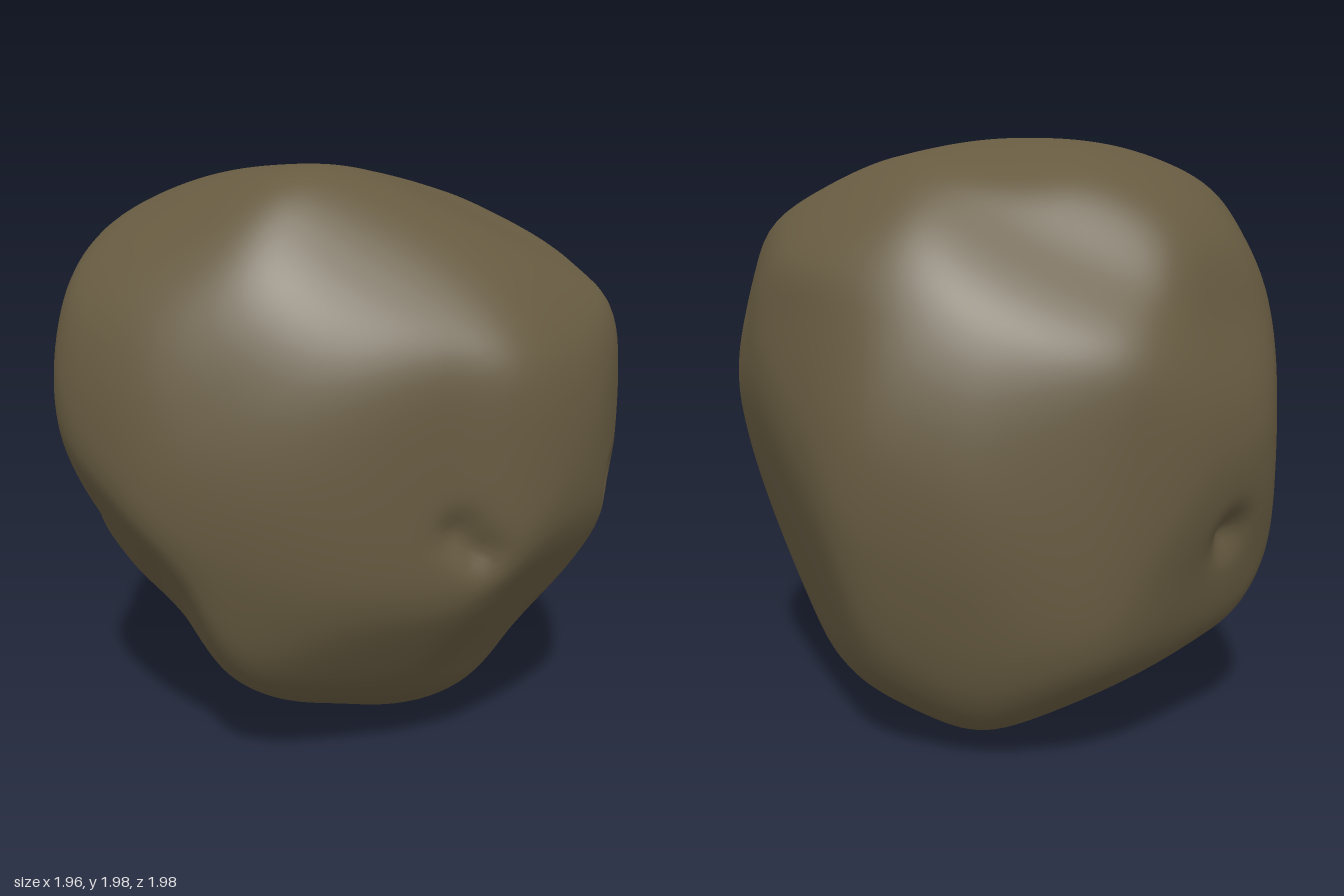
import * as THREE from 'three';
import { mergeVertices } from 'three/addons/utils/BufferGeometryUtils.js';

// Outlines of the lump along six axes: azimuth, elevation (degrees) and the
// radius every 22.5 degrees around that axis
const OUTLINES = [
  [0, 0, [0.98, 1.005, 1.075, 1.0, 0.985, 1.06, 1.07, 1.035, 0.97, 0.93, 0.94, 0.925, 0.975, 1.065, 1.115, 1.025]],
  [90, 0, [0.99, 0.975, 1.025, 1.0, 0.99, 1.015, 1.01, 1.03, 0.985, 0.91, 0.915, 1.02, 0.99, 1.03, 1.06, 1.0]],
  [0, 90, [0.97, 1.03, 0.965, 0.98, 1.0, 0.965, 0.88, 1.0, 0.98, 0.9, 0.85, 0.875, 0.985, 1.0, 0.99, 0.945]],
  [35, 25, [0.975, 0.97, 0.945, 1.01, 1.043, 1.06, 1.03, 0.93, 0.87, 0.877, 0.883, 0.94, 1.03, 1.06, 1.11, 1.035]],
  [215, 26, [0.877, 0.914, 0.963, 0.994, 0.963, 1.03, 1.03, 1.0, 0.99, 1.037, 1.128, 1.01, 0.908, 0.883, 0.933, 0.902]],
  [140, -27, [0.933, 0.988, 1.043, 1.025, 0.975, 1.025, 1.055, 1.0, 0.975, 0.963, 0.939, 0.975, 0.926, 0.914, 0.79, 0.822]],
];

// Broad flat face on the lower left side
const FLAT = { normal: new THREE.Vector3(0.89, -0.27, 0.37).normalize(), distance: 0.88 };

// Small dents: direction, angular size, depth
const DENTS = [
  { dir: new THREE.Vector3(-0.33, -0.1, 0.88).normalize(), size: 0.08, depth: 0.04 },
  { dir: new THREE.Vector3(-0.25, -0.17, 0.88).normalize(), size: 0.07, depth: 0.04 },
  { dir: new THREE.Vector3(0.41, -0.04, 0.88).normalize(), size: 0.06, depth: 0.04 },
  { dir: new THREE.Vector3(-0.03, -0.29, -0.91).normalize(), size: 0.075, depth: 0.055 },
];

const SHARPNESS = 30; // higher keeps crisper ridges where outlines meet

function makeOutline([azimuth, elevation, target]) {
  const a = THREE.MathUtils.degToRad(azimuth), e = THREE.MathUtils.degToRad(elevation);
  return {
    right: new THREE.Vector3(Math.cos(a), 0, -Math.sin(a)),
    up: new THREE.Vector3(-Math.sin(e) * Math.sin(a), Math.cos(e), -Math.sin(e) * Math.cos(a)),
    target,
    radii: target.slice(),
  };
}

// Position around an outline, counted in samples
function sampleAt(x, y, n) {
  return ((Math.atan2(y, x) / (2 * Math.PI)) * n + n) % n;
}

// Smooth periodic interpolation of an outline's radii
function outlineRadius(radii, x, y) {
  const n = radii.length;
  const t = sampleAt(x, y, n);
  const i = Math.floor(t), f = t - i;
  const [a, b, c, d] = [-1, 0, 1, 2].map((k) => radii[(i + k + n) % n]);
  return b + 0.5 * f * (c - a + f * (2 * a - 5 * b + 4 * c - d + f * (3 * (b - c) + d - a)));
}

// Radius in a direction: the solid common to all outlines with rounded ridges
function bodyRadius(dir, outlines) {
  let sum = (Math.max(0, dir.dot(FLAT.normal)) / FLAT.distance) ** SHARPNESS;
  for (const { right, up, radii } of outlines) {
    const x = dir.dot(right), y = dir.dot(up);
    sum += (Math.hypot(x, y) / outlineRadius(radii, x, y)) ** SHARPNESS;
  }
  return sum ** (-1 / SHARPNESS);
}

// Widen the outlines where rounding the ridges has drawn the body in
function fitOutlines(outlines, dirs) {
  const points = dirs.map((d) => d.clone().multiplyScalar(bodyRadius(d, outlines)));
  for (const { right, up, target, radii } of outlines) {
    const n = radii.length;
    const reach = new Array(n).fill(0);
    for (const p of points) {
      const x = p.dot(right), y = p.dot(up);
      const t = sampleAt(x, y, n), i = Math.round(t);
      if (Math.abs(t - i) < 0.12) reach[i % n] = Math.max(reach[i % n], Math.hypot(x, y));
    }
    reach.forEach((r, i) => { radii[i] *= THREE.MathUtils.clamp(target[i] / r, 0.97, 1.03); });
  }
}

export function createModel() {
  const earthBrown = new THREE.MeshStandardMaterial({ color: 0x675b41 });
  earthBrown.name = 'earthBrown';

  // Shared vertices give smooth normals
  let geometry = new THREE.IcosahedronGeometry(1, 36);
  geometry.deleteAttribute('uv');
  geometry.deleteAttribute('normal');
  geometry = mergeVertices(geometry, 1e-5);

  const position = geometry.attributes.position;
  const dirs = Array.from({ length: position.count }, (_, i) =>
    new THREE.Vector3().fromBufferAttribute(position, i).normalize());

  const outlines = OUTLINES.map(makeOutline);
  for (let pass = 0; pass < 3; pass++) fitOutlines(outlines, dirs);

  dirs.forEach((dir, i) => {
    let r = bodyRadius(dir, outlines);
    for (const d of DENTS) r -= d.depth * Math.exp(-dir.distanceToSquared(d.dir) / (d.size * d.size));
    position.setXYZ(i, dir.x * r, dir.y * r, dir.z * r);
  });

  // Stand it on the ground
  geometry.computeBoundingBox();
  geometry.translate(0, -geometry.boundingBox.min.y, 0);
  geometry.computeVertexNormals();

  const boulder = new THREE.Mesh(geometry, earthBrown);
  boulder.name = 'boulder';
  const group = new THREE.Group();
  group.name = 'lumpyBoulder';
  group.add(boulder);
  return group;
}
